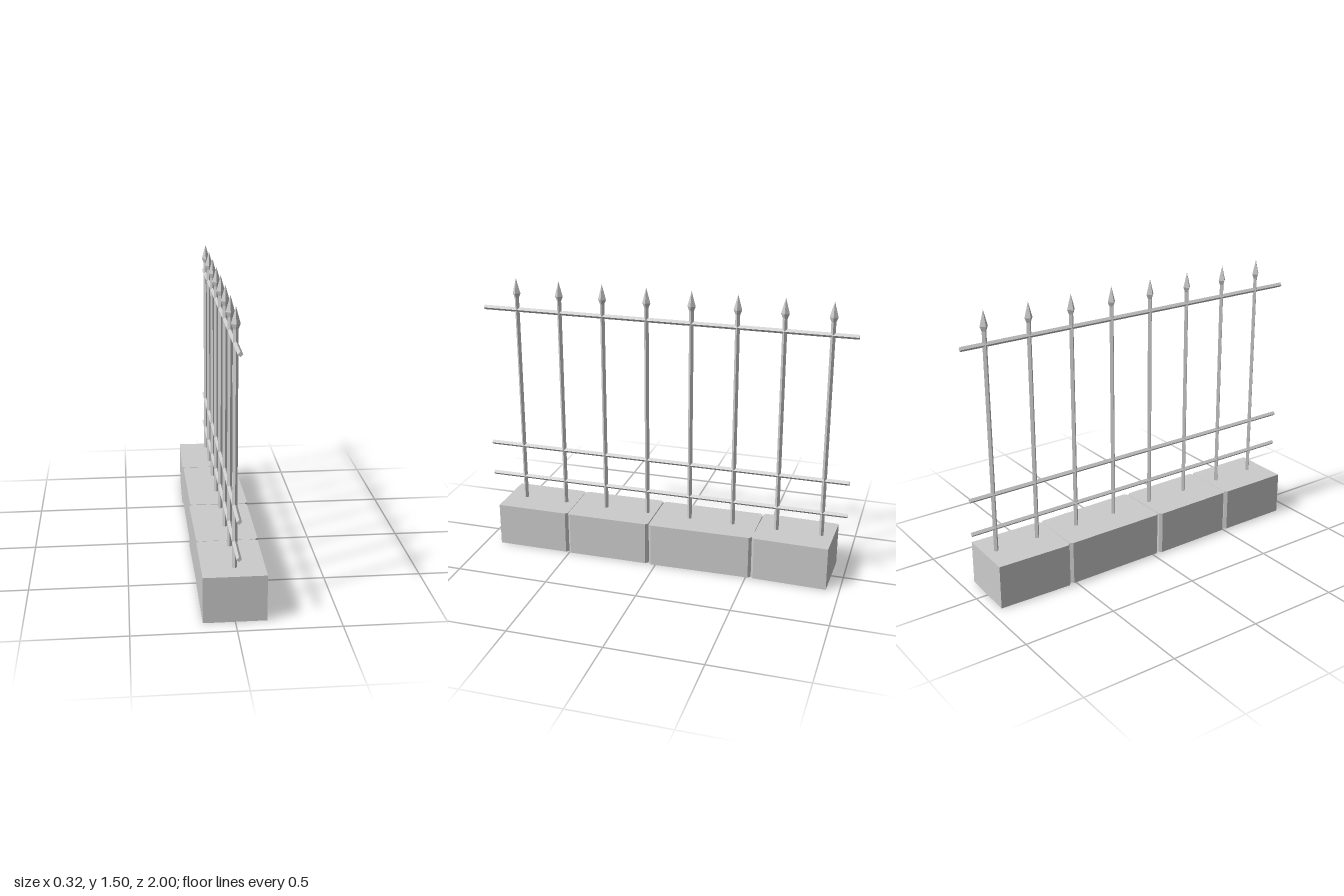
import * as THREE from 'three';

const material = new THREE.MeshStandardMaterial({ color: 0xcccccc, flatShading: true });
const BAR_X = 0.005;
const BAR_R = 0.0125;
const BLOCK_H = 0.235;

function addMesh(parent, name, geometry, x = 0, y = 0, z = 0) {
  const mesh = new THREE.Mesh(geometry, material);
  mesh.name = name;
  mesh.position.set(x, y, z);
  parent.add(mesh);
  return mesh;
}

// Stone block from four [x, z, chamfer] plan corners, extruded upwards
function blockGeometry(corners) {
  const points = [];
  corners.forEach(([x, z, chamfer], i) => {
    const p = new THREE.Vector2(x, -z);
    if (!chamfer) return points.push(p);
    for (const j of [(i + 3) % 4, (i + 1) % 4]) {
      const toward = new THREE.Vector2(corners[j][0], -corners[j][1]).sub(p).setLength(chamfer);
      points.push(p.clone().add(toward));
    }
  });
  const geometry = new THREE.ExtrudeGeometry(new THREE.Shape(points), { depth: BLOCK_H, bevelEnabled: false });
  return geometry.rotateX(-Math.PI / 2);
}

export function createModel() {
  const fence = new THREE.Group();
  fence.name = 'fence';

  // Slightly uneven stones, chamfered where they meet
  const c = 0.014;
  const blocks = [
    [[-0.155, -0.94, 0], [0.157, -0.93, 0], [0.147, -0.525, c], [-0.165, -0.53, c]],
    [[-0.158, -0.525, c], [0.147, -0.525, c], [0.157, 0.04, c], [-0.155, 0.04, c]],
    [[-0.162, 0.045, c], [0.152, 0.045, c], [0.155, 0.505, c], [-0.155, 0.508, c]],
    [[-0.157, 0.51, c], [0.152, 0.507, c], [0.152, 0.912, 0], [-0.155, 0.912, 0]],
  ];
  blocks.forEach((corners) => addMesh(fence, 'stoneBlock', blockGeometry(corners)));

  // Horizontal diamond-section rails
  const rail = new THREE.CylinderGeometry(BAR_R, BAR_R, 2, 4).rotateX(Math.PI / 2);
  for (const y of [0.365, 0.55, 1.33]) addMesh(fence, 'rail', rail, BAR_X, y, 0);

  // Upright pickets with four-sided spear heads
  const bottom = 0.2, top = 1.41;
  const bar = new THREE.CylinderGeometry(BAR_R, BAR_R, top - bottom, 4);
  const head = new THREE.LatheGeometry([
    new THREE.Vector2(0, 1.395),
    new THREE.Vector2(0.012, 1.395),
    new THREE.Vector2(0.022, 1.42),
    new THREE.Vector2(0, 1.5),
  ], 4);
  for (let i = 0; i < 8; i++) {
    const picket = new THREE.Group();
    picket.name = 'picket';
    picket.position.set(BAR_X, 0, 0.81 - i * 0.24);
    addMesh(picket, 'bar', bar, 0, (top + bottom) / 2, 0);
    addMesh(picket, 'spearHead', head);
    fence.add(picket);
  }
  return fence;
}
